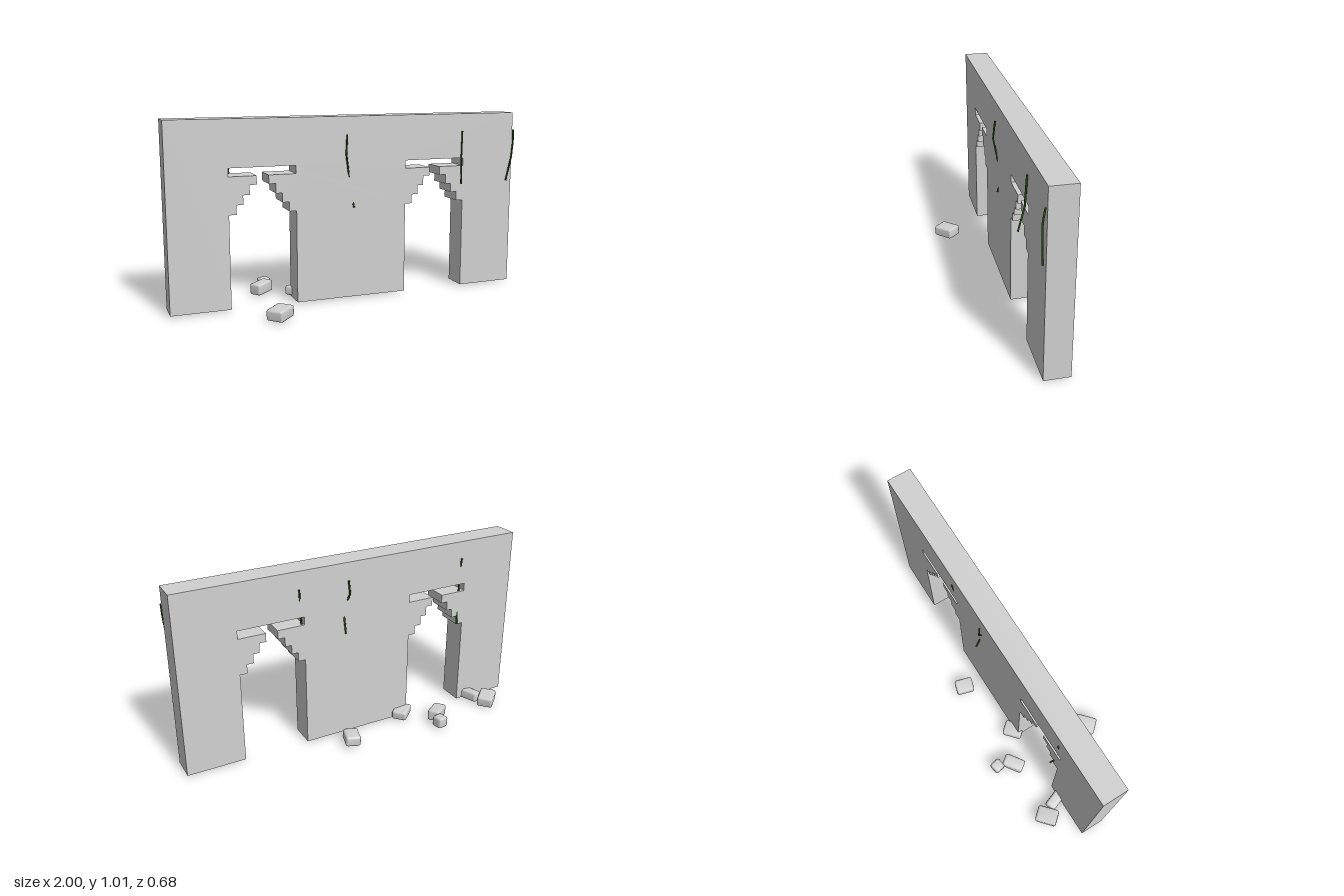
import * as THREE from 'three';
import { RoundedBoxGeometry } from 'three/addons/geometries/RoundedBoxGeometry.js';
import { mergeVertices } from 'three/addons/utils/BufferGeometryUtils.js';

export function createModel() {
  const model = new THREE.Group();
  const stone = new THREE.MeshStandardMaterial({ color: 0xd1d1d1 });
  stone.name = 'pale grey stone';
  const green = new THREE.MeshStandardMaterial({ color: 0x2d5016 });
  green.name = 'dark vine green';

  const add = (name, geometry, material, parent = model) => {
    const mesh = new THREE.Mesh(geometry, material);
    mesh.name = name;
    parent.add(mesh);
    return mesh;
  };

  // Wall outline: two stepped arches, each opening into a flat slot above
  const base = 0.011, top = 1.009, front = 0.037, back = -0.1;
  const halfArch = [
    [0.181, base], [0.181, 0.515], [0.141, 0.515], [0.141, 0.565],
    [0.105, 0.565], [0.105, 0.615], [0.07, 0.615], [0.07, 0.667],
    [0.032, 0.667], [0.032, 0.714], [0.181, 0.714], [0.181, 0.758],
  ];
  const outline = [[-1, base]];
  for (const cx of [-0.501, 0.493]) {
    for (const [w, y] of halfArch) outline.push([cx - w, y]);
    for (const [w, y] of [...halfArch].reverse()) outline.push([cx + w, y]);
  }
  outline.push([0.993, base], [0.993, top], [-1, top]);
  const wallShape = new THREE.Shape(outline.map(([x, y]) => new THREE.Vector2(x, y)));
  const wallGeometry = new THREE.ExtrudeGeometry(wallShape, { depth: front - back, bevelEnabled: false });
  wallGeometry.translate(0, 0, back);
  add('archedWall', wallGeometry, stone);

  // Worn block: bevelled box with normals blended across its faces
  const wornBlock = (w, h, d) => {
    const box = new RoundedBoxGeometry(w, h, d, 1, 0.012);
    box.deleteAttribute('normal');
    box.deleteAttribute('uv');
    const smooth = mergeVertices(box, 1e-5);
    smooth.computeVertexNormals();
    return smooth;
  };

  // Fallen blocks: x, y, z, width, height, depth, turn, tilt
  const blocks = [
    [-0.482, 0.041, 0.265, 0.124, 0.06, 0.096, 43, 3],
    [-0.815, 0.04, -0.218, 0.12, 0.06, 0.09, 41, -5],
    [-0.762, 0.035, -0.13, 0.062, 0.056, 0.108, 20, 5],
    [-0.457, 0.043, -0.219, 0.12, 0.064, 0.071, 36, 4],
    [-0.42, 0.041, -0.307, 0.063, 0.062, 0.063, 10, 3],
    [-0.284, 0.04, -0.112, 0.11, 0.052, 0.085, 41, -4],
    [0.102, 0.041, -0.219, 0.083, 0.058, 0.105, -16, 4],
    [0.81, 0.032, -0.04, 0.088, 0.056, 0.105, 14, 3],
  ];
  const rubble = new THREE.Group();
  rubble.name = 'rubble';
  model.add(rubble);
  blocks.forEach(([x, y, z, w, h, d, turn, tilt], i) => {
    const block = add(`fallenBlock${i + 1}`, wornBlock(w, h, d), stone, rubble);
    block.position.set(x, y, z);
    block.rotation.set(0, THREE.MathUtils.degToRad(turn), THREE.MathUtils.degToRad(tilt), 'YXZ');
  });

  // Hanging vines: straight thin stems that dip in and out of the wall
  const vines = [
    [[-0.036, 0.91, 0.046], [-0.045, 0.81, 0.055], [-0.02, 0.675, 0.032], [0, 0.57, 0.024], [0.004, 0.515, 0.042]],
    [[0.662, 0.91, 0.043], [0.655, 0.75, 0.05], [0.642, 0.617, 0.078]],
    [[0.993, 0.91, 0.047], [0.989, 0.84, 0.056], [0.982, 0.75, 0.053], [0.957, 0.617, 0.043]],
    [[0.338, 0.91, -0.104], [0.335, 0.85, -0.096], [0.327, 0.76, -0.085], [0.322, 0.7, -0.085]],
    [[0.06, 0.91, -0.108], [0.056, 0.84, -0.114], [0.064, 0.79, -0.092], [0.082, 0.72, -0.094], [0.085, 0.625, -0.122]],
    [[-0.65, 0.91, -0.105], [-0.652, 0.84, -0.092], [-0.654, 0.7, -0.088], [-0.645, 0.575, -0.097], [-0.636, 0.522, -0.113]],
  ];
  const up = new THREE.Vector3(0, 1, 0);
  vines.forEach((points, i) => {
    const vine = new THREE.Group();
    vine.name = `vine${i + 1}`;
    model.add(vine);
    for (let k = 1; k < points.length; k++) {
      const a = new THREE.Vector3(...points[k - 1]);
      const b = new THREE.Vector3(...points[k]);
      const direction = b.clone().sub(a);
      const stem = add('vineStem', new THREE.CylinderGeometry(0.005, 0.005, direction.length() + 0.003, 6), green, vine);
      stem.position.copy(a).add(b).multiplyScalar(0.5);
      stem.quaternion.setFromUnitVectors(up, direction.normalize());
    }
  });

  return model;
}
